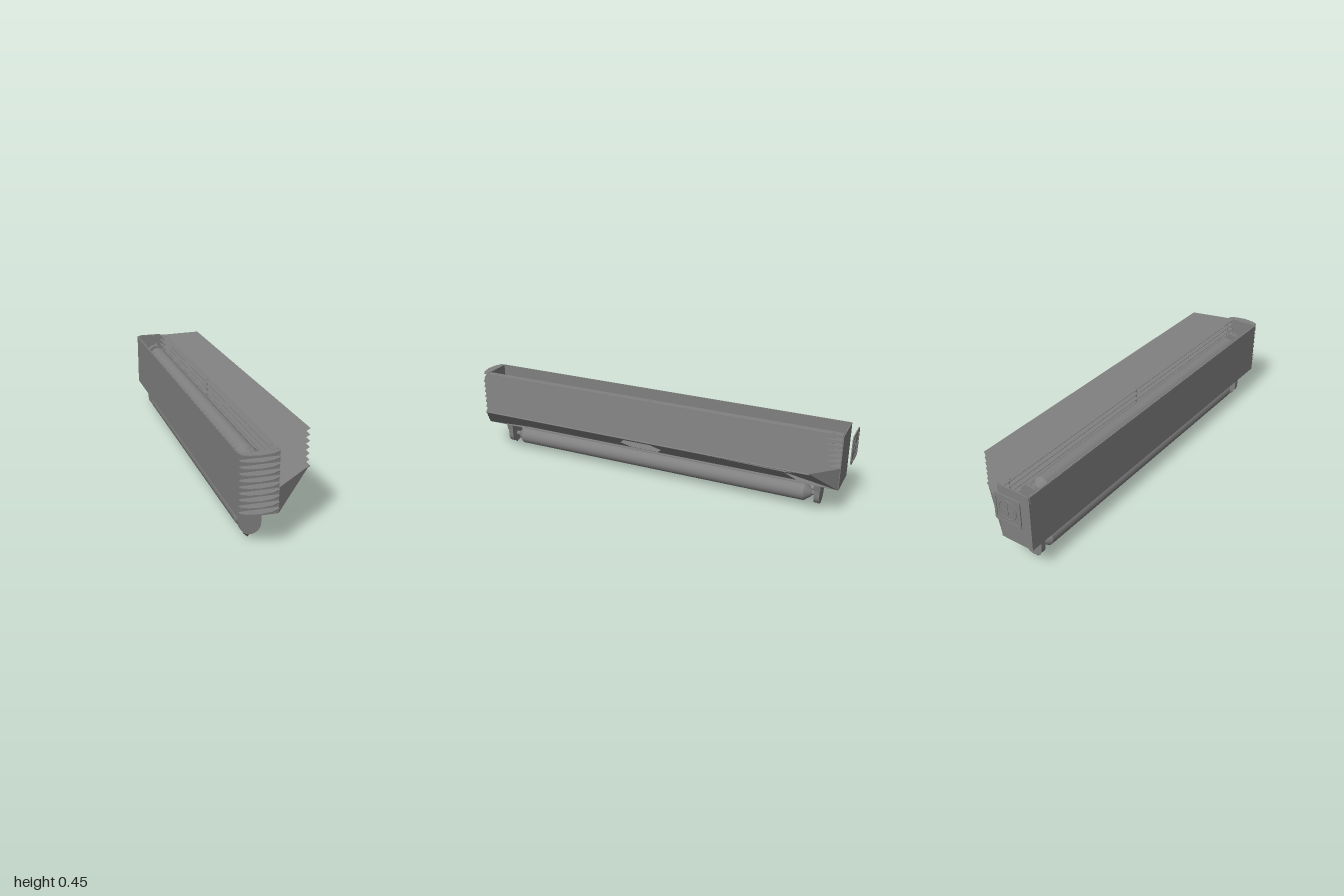
import * as THREE from 'three';

const grey = new THREE.MeshStandardMaterial({ color: 0x808080, side: THREE.DoubleSide });
grey.name = 'greyMetal';

export function createModel() {
  const root = new THREE.Group();
  root.name = 'louveredLamp';

  const add = (name, geo, x = 0, y = 0, z = 0, parent = root) => {
    const m = new THREE.Mesh(geo, grey);
    m.name = name;
    m.position.set(x, y, z);
    parent.add(m);
    return m;
  };
  const box = (name, x0, x1, y0, y1, z0, z1, parent) =>
    add(name, new THREE.BoxGeometry(x1 - x0, y1 - y0, z1 - z0),
      (x0 + x1) / 2, (y0 + y1) / 2, (z0 + z1) / 2, parent);
  const shapeOf = pts => new THREE.Shape(pts.map(p => new THREE.Vector2(...p)));
  // Flat outline whose points are placed in space by a rule
  const sheet = (name, shape, place) => {
    const g = new THREE.ShapeGeometry(shape);
    const p = g.attributes.position;
    for (let i = 0; i < p.count; i++) p.setXYZ(i, ...place(p.getX(i), p.getY(i)));
    g.computeVertexNormals();
    return add(name, g);
  };

  // Housing
  box('backWall', -0.169, -0.165, 0.142, 0.416, -0.96, 0.95);
  box('backWallRim', -0.172, -0.169, 0.38, 0.415, -0.955, 0.95);
  box('frontEndWall', -0.168, 0, 0.142, 0.415, 0.946, 0.95);
  box('backEndWall', -0.168, 0, 0.142, 0.415, -0.96, -0.956);
  box('lowerFloor', -0.168, 0, 0.142, 0.145, -0.96, 0.95);
  box('upperFloor', -0.168, 0, 0.251, 0.254, -0.96, 0.95);

  // Side louvers: level inner strip, then a sloping blade with cut corners
  const blade = shapeOf([[0, -0.957], [0.168, -0.855], [0.168, 0.845], [0, 0.95]]);
  for (let i = 0; i < 7; i++) {
    const y = 0.415 - i * 0.0272;
    sheet('louverBlade', blade, (x, z) => [x, y + x * 0.18, z]);
    box('louverStrip', -0.035, 0, y - 0.001, y + 0.001, -0.955, 0.946);
  }
  const lip = add('lowerLouverLip', new THREE.CylinderGeometry(0.004, 0.004, 1.7, 8), 0.168, 0.28, -0.005);
  lip.rotation.x = Math.PI / 2;

  // Rods that hold the louvers
  for (const z of [-0.91, 0, 0.9]) {
    add('louverRod', new THREE.CylinderGeometry(0.003, 0.003, 0.165, 8), -0.02, 0.335, z);
    add('rodHead', new THREE.CylinderGeometry(0.008, 0.008, 0.002, 12), -0.02, 0.417, z);
  }

  // Sloping underside with its openings, drawn in z and y
  const onSlope = (z, y) => [(y - 0.142) * 1.2, y, z];
  const slope = shapeOf([[0.95, 0.142], [0.845, 0.282], [0.03, 0.282],
    [-0.73, 0.25], [-0.77, 0.175], [0.68, 0.175]]);
  slope.holes.push(new THREE.Path([[0.11, 0.215], [0.07, 0.178], [-0.07, 0.178],
    [-0.11, 0.215], [-0.07, 0.255], [0.07, 0.255]].map(p => new THREE.Vector2(...p))));
  sheet('slopingUnderside', slope, onSlope);
  sheet('slopingCorner', shapeOf([[-0.73, 0.25], [-0.957, 0.142], [-0.855, 0.282]]), onSlope);
  const gusset = shapeOf([[0, 0.142], [0.168, 0.282], [0, 0.253]]);
  sheet('frontGusset', gusset, (x, y) => [x, y, 0.95 - x * 0.625]);
  sheet('backGusset', gusset, (x, y) => [x, y, -0.957 + x * 0.607]);

  // Rounded fins on the front end
  const fin = shapeOf([[-0.169, 0.948], [-0.165, 0.968], [-0.135, 0.984], [-0.085, 0.992],
    [-0.035, 0.984], [-0.005, 0.968], [0, 0.948]]);
  const finGeo = new THREE.ExtrudeGeometry(fin, { depth: 0.003, bevelEnabled: false });
  finGeo.rotateX(Math.PI / 2);
  for (let i = 0; i < 10; i++) add('frontFin', finGeo, 0, 0.416 - i * 0.0273, 0);

  // Fluorescent tube with a holder at each end, hanging below y = 0
  const tubeGeo = new THREE.LatheGeometry([[0, -0.82], [0.016, -0.82], [0.045, -0.785],
    [0.045, -0.785], [0.045, 0.785], [0.045, 0.785], [0.016, 0.82], [0, 0.82]]
    .map(p => new THREE.Vector2(...p)), 24);
  tubeGeo.rotateX(Math.PI / 2);
  const holder = new THREE.Shape();
  holder.moveTo(-0.046, -0.027);
  holder.lineTo(-0.046, -0.08);
  holder.absarc(0, -0.08, 0.046, Math.PI, Math.PI * 2, false);
  holder.lineTo(0.046, -0.027);
  const holderGeo = new THREE.ExtrudeGeometry(holder, { depth: 0.026, bevelEnabled: false, curveSegments: 10 });
  holderGeo.translate(0, 0, -0.013);
  const lampUnit = name => {
    const g = new THREE.Group();
    g.name = name;
    add('tube', tubeGeo, 0, -0.082, -0.005, g);
    for (const z of [-0.855, 0.848]) {
      add('tubeHolder', holderGeo, 0, 0, z, g);
      const tip = add('holderTip', new THREE.ConeGeometry(0.022, 0.02, 4), -0.008, -0.132, z, g);
      tip.rotation.x = Math.PI;
      tip.scale.z = 0.5;
      for (const s of [-1, 1]) {
        const leg = box('holderLeg', s * 0.049 - 0.003, s * 0.049 + 0.003, -0.045, 0, z - 0.016, z + 0.016, g);
        leg.rotation.z = -s * 0.15;
      }
      const pin = add('tubePin', new THREE.CylinderGeometry(0.012, 0.012, 0.04, 8), 0, -0.082, z * 0.98, g);
      pin.rotation.x = Math.PI / 2;
    }
    root.add(g);
    return g;
  };
  lampUnit('lowerLamp').position.set(-0.085, 0.142, 0);
  const upper = lampUnit('upperLamp');
  upper.position.set(-0.085, 0.254, 0);
  upper.rotation.z = Math.PI;

  // Square cover with a round socket, set off the back end
  const cover = new THREE.Group();
  cover.name = 'socketCover';
  cover.position.set(-0.085, 0.34, -0.994);
  root.add(cover);
  const rounded = (h, r, Type = THREE.Shape) => {
    const s = new Type();
    s.absarc(h - r, h - r, r, 0, Math.PI / 2);
    s.absarc(r - h, h - r, r, Math.PI / 2, Math.PI);
    s.absarc(r - h, r - h, r, Math.PI, Math.PI * 1.5);
    s.absarc(h - r, r - h, r, Math.PI * 1.5, Math.PI * 2);
    s.closePath();
    return s;
  };
  const plate = (shape, depth) => new THREE.ExtrudeGeometry(shape, { depth, bevelEnabled: false, curveSegments: 6 });
  add('coverPlate', plate(rounded(0.07, 0.016), 0.002), 0, 0, -0.003, cover);
  const rim = rounded(0.07, 0.016);
  rim.holes.push(rounded(0.058, 0.012, THREE.Path));
  add('coverRim', plate(rim, 0.003), 0, 0, -0.006, cover);
  add('socketRing', new THREE.TorusGeometry(0.046, 0.0025, 6, 28), 0, 0, -0.003, cover);
  box('socketBar', -0.03, 0.03, -0.002, 0.002, -0.005, -0.003, cover);
  box('socketBar', -0.002, 0.002, -0.03, 0.03, -0.005, -0.003, cover);

  return root;
}
